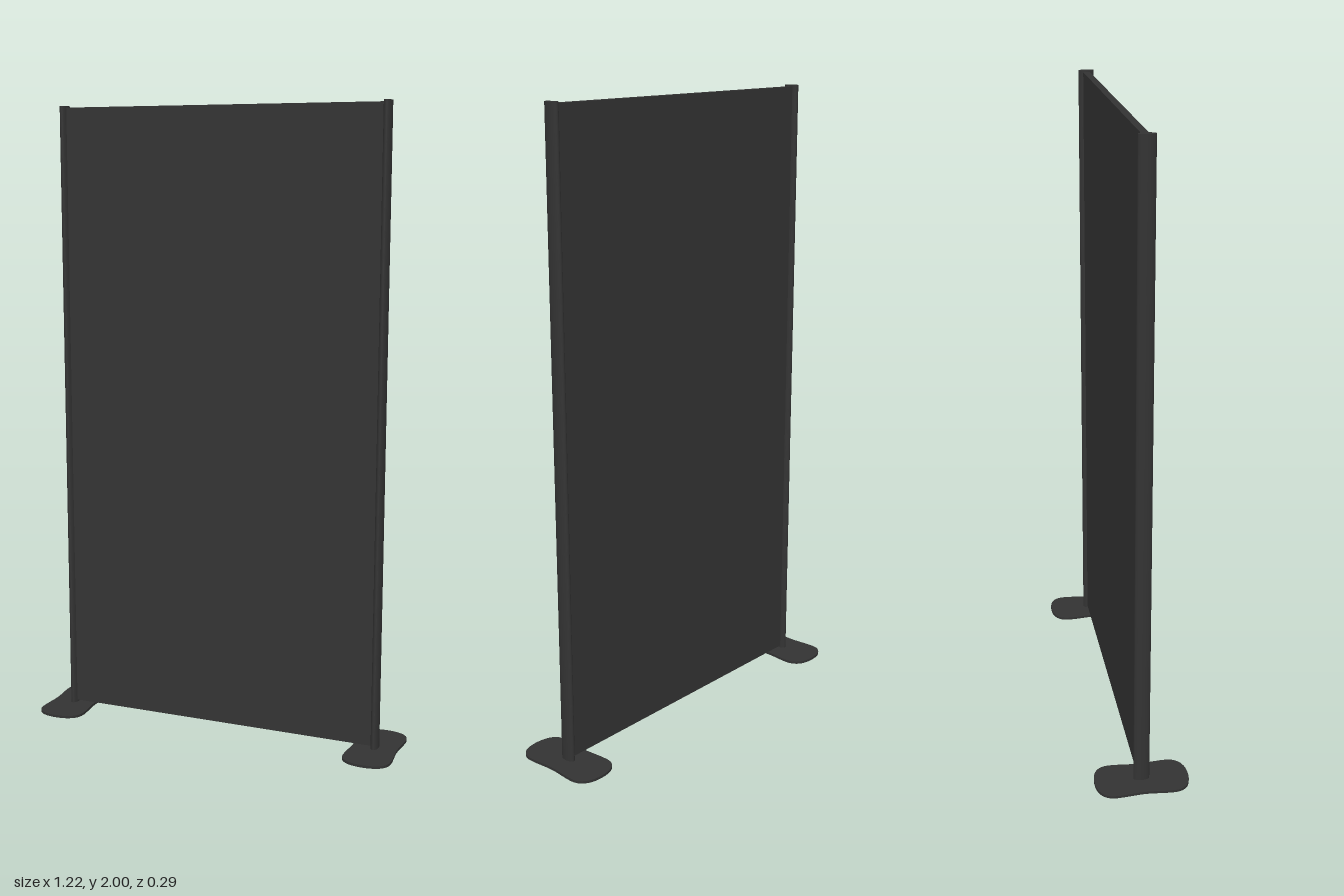
import * as THREE from 'three';

const POST_X = 0.531;

// Waisted outline of a foot plate, drawn in x and z
function footShape() {
  const s = new THREE.Shape();
  s.moveTo(0, 0.147);
  s.bezierCurveTo(0.045, 0.147, 0.077, 0.13, 0.077, 0.09);
  s.bezierCurveTo(0.077, 0.055, 0.071, 0.03, 0.071, 0);
  s.bezierCurveTo(0.071, -0.03, 0.077, -0.055, 0.077, -0.09);
  s.bezierCurveTo(0.077, -0.13, 0.045, -0.147, 0, -0.147);
  s.bezierCurveTo(-0.045, -0.147, -0.077, -0.13, -0.077, -0.09);
  s.bezierCurveTo(-0.077, -0.055, -0.071, -0.03, -0.071, 0);
  s.bezierCurveTo(-0.071, 0.03, -0.077, 0.055, -0.077, 0.09);
  s.bezierCurveTo(-0.077, 0.13, -0.045, 0.147, 0, 0.147);
  return s;
}

export function createModel() {
  const group = new THREE.Group();
  const material = new THREE.MeshStandardMaterial({ color: 0x333333 });

  const add = (name, geometry, x, y) => {
    const mesh = new THREE.Mesh(geometry, material);
    mesh.name = name;
    mesh.position.set(x, y, 0);
    group.add(mesh);
  };

  // Screen panel held between the posts
  add('panel', new THREE.BoxGeometry(2 * POST_X - 0.01, 1.98, 0.022), 0, 1.005);

  // Oval upright posts
  const post = new THREE.CylinderGeometry(1, 1, 1.994, 32).scale(0.0125, 1, 0.025);

  // Thin flat feet
  const foot = new THREE.ExtrudeGeometry(footShape(), { depth: 0.008, bevelEnabled: false, curveSegments: 10 });
  foot.rotateX(-Math.PI / 2);

  for (const [side, sign] of [['left', 1], ['right', -1]]) {
    add(side + 'Post', post, sign * POST_X, 1.003);
    add(side + 'Foot', foot, sign * POST_X, 0);
  }
  return group;
}
